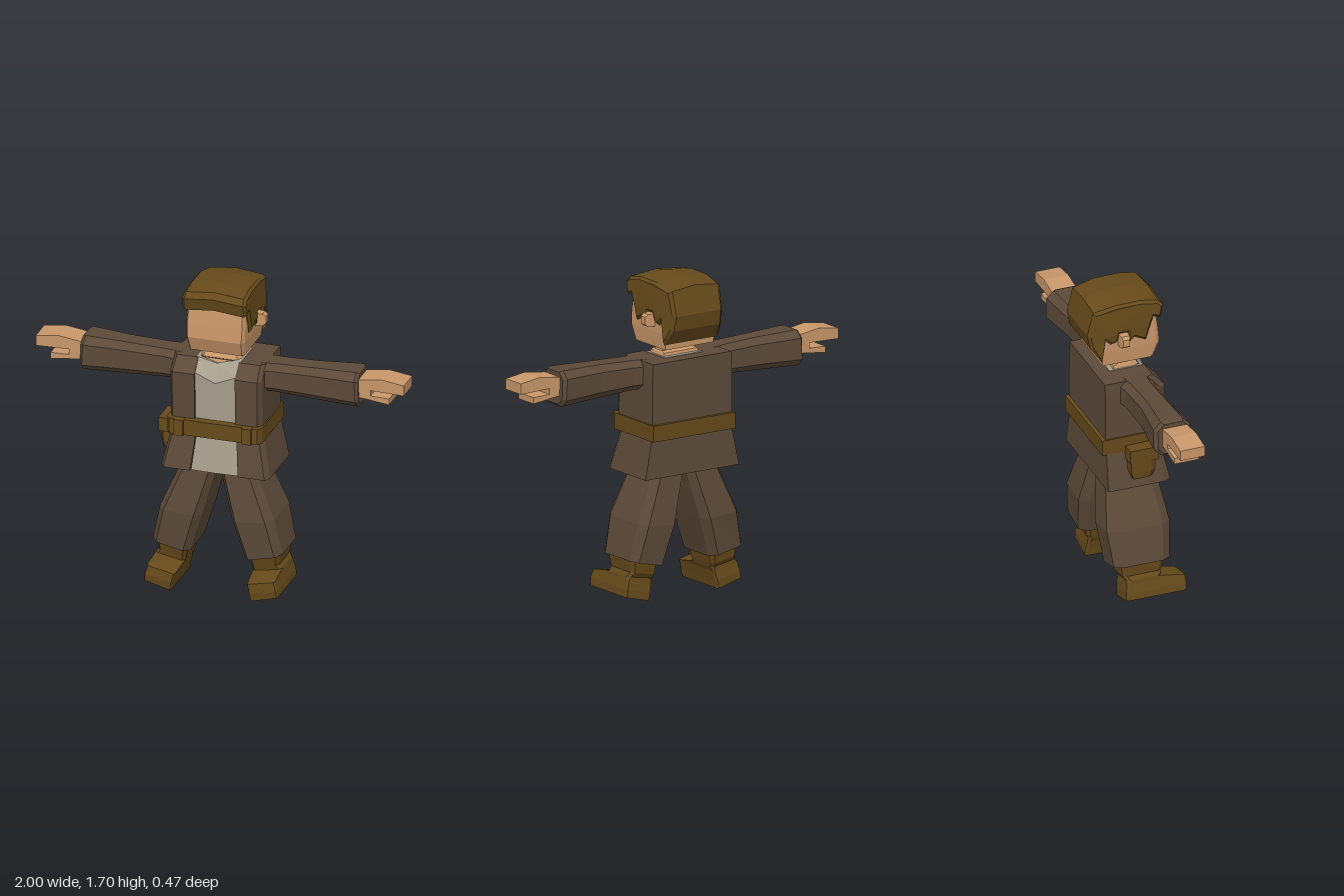
import * as THREE from 'three';

const colour = (name, hex) => {
  const m = new THREE.MeshStandardMaterial({ color: hex });
  m.name = name;
  return m;
};

// Faceted solid through a list of equal-length rings, with closed ends
function loft(rings) {
  const tris = [];
  const n = rings[0].length;
  for (let r = 0; r < rings.length - 1; r++) {
    for (let i = 0; i < n; i++) {
      const j = (i + 1) % n;
      const a = rings[r][i], b = rings[r][j], c = rings[r + 1][j], d = rings[r + 1][i];
      tris.push([a, b, c], [a, c, d]);
    }
  }
  const first = rings[0], last = rings[rings.length - 1];
  for (let i = 1; i < n - 1; i++) {
    tris.push([first[0], first[i + 1], first[i]], [last[0], last[i], last[i + 1]]);
  }
  // Turn the faces outward whichever way the rings run
  let volume = 0;
  for (const [a, b, c] of tris) {
    volume += a[0] * (b[1] * c[2] - b[2] * c[1]) + a[1] * (b[2] * c[0] - b[0] * c[2]) + a[2] * (b[0] * c[1] - b[1] * c[0]);
  }
  if (volume < 0) tris.forEach((t) => t.reverse());
  const g = new THREE.BufferGeometry();
  g.setAttribute('position', new THREE.Float32BufferAttribute(tris.flat(2), 3));
  g.computeVertexNormals();
  return g;
}

// Chamfered cross-section between two points in xy, spanning z0..z1
function section(s, [ax, ay], [bx, by], z0, z1, c = 0.15) {
  const uv = [[0, c], [c, 0], [1 - c, 0], [1, c], [1, 1 - c], [1 - c, 1], [c, 1], [0, 1 - c]];
  return uv.map(([u, v]) => [s * (ax + (bx - ax) * u), ay + (by - ay) * u, z0 + (z1 - z0) * v]);
}

// Level rectangle with chamfered front corners
const level = (y, x, zb, zf, c = 0.03) =>
  [[-x, y, zb], [x, y, zb], [x, y, zf - c], [x - c * 0.6, y, zf], [c * 0.6 - x, y, zf], [-x, y, zf - c]];

function extrude(points, depth, bevel) {
  const shape = new THREE.Shape(points.map((p) => new THREE.Vector2(...p)));
  const g = new THREE.ExtrudeGeometry(shape, { depth, steps: 2, bevelEnabled: bevel > 0, bevelThickness: bevel, bevelSize: bevel, bevelOffset: -bevel, bevelSegments: 1 });
  return g.translate(0, 0, -depth / 2);
}

export function createModel() {
  const model = new THREE.Group();
  model.name = 'figure';
  const cloth = colour('brown cloth', 0x5c4a39);
  const leather = colour('dark leather', 0x664a1b);
  const skin = colour('skin', 0xc9976a);
  const linen = colour('grey linen', 0xa8a08f);
  const add = (name, geometry, material) => {
    const mesh = new THREE.Mesh(geometry, material);
    mesh.name = name;
    model.add(mesh);
    return mesh;
  };
  const box = (name, w, h, d, x, y, z, material) =>
    add(name, new THREE.BoxGeometry(w, h, d).translate(x, y, z), material);

  // Shirt, with a dip at the collar
  add('shirt', loft([
    [0.664, 0.14, 0.15, 0], [0.87, 0.12, 0.118, 0], [0.95, 0.12, 0.14, 0],
    [1.22, 0.12, 0.148, 0.05], [1.283, 0.12, 0.09, 0.025],
  ].map(([y, x, z, dip]) => [[-x, y, -0.1], [x, y, -0.1], [x, y, z], [0, y - dip, z + 0.004], [-x, y, z]])), linen);

  // Jacket back and sides
  add('jacketBody', loft([
    level(0.67, 0.295, -0.175, 0.085), level(0.87, 0.253, -0.17, 0.08),
    level(0.95, 0.25, -0.175, 0.08), level(1.2, 0.25, -0.175, 0.08), level(1.28, 0.245, -0.175, 0.075),
  ]), cloth);

  // Belt with its loops
  add('belt', loft([level(0.872, 0.258, -0.195, 0.187), level(0.958, 0.258, -0.195, 0.187)]), leather);
  for (const s of [1, -1]) box('beltLoop', 0.05, 0.088, 0.03, s * 0.185, 0.915, 0.188, leather);

  // Hip pouch with flap
  add('pouch', loft([
    level(0.73, 0.03, -0.045, 0.065), level(0.77, 0.036, -0.06, 0.08), level(0.87, 0.036, -0.06, 0.08),
  ]).translate(-0.288, 0, 0), leather);
  box('pouchFlap', 0.08, 0.075, 0.155, -0.29, 0.868, 0.01, leather);

  for (const s of [1, -1]) {
    // Jacket front panel: height, inner x, outer x, front z
    add('jacketFront', loft([
      [0.67, 0.13, 0.295, 0.175], [0.87, 0.11, 0.253, 0.135], [0.95, 0.11, 0.25, 0.158],
      [1.21, 0.11, 0.25, 0.162], [1.28, 0.11, 0.245, 0.095],
    ].map(([y, a, b, z]) => [[a, y, z], [b - 0.02, y, z], [b, y, z - 0.035], [b, y, 0], [a, y, 0]]
      .map(([x, h, d]) => [s * x, h, d]))), cloth);

    // Sleeve flaring to the cuff
    add('sleeve', loft([
      section(s, [0.2, 1.13], [0.2, 1.28], -0.1, 0.1, 0.2),
      section(s, [0.3, 1.125], [0.3, 1.283], -0.08, 0.085, 0.2),
      section(s, [0.5, 1.115], [0.5, 1.29], -0.075, 0.085, 0.2),
      section(s, [0.745, 1.108], [0.735, 1.298], -0.105, 0.1, 0.2),
      section(s, [0.758, 1.12], [0.752, 1.29], -0.085, 0.085, 0.2),
    ]), cloth);

    // Hand with grouped fingers and thumb
    const hand = extrude([
      [0.72, 1.17], [0.8, 1.163], [0.92, 1.148], [0.92, 1.182], [0.82, 1.185], [0.82, 1.215],
      [1, 1.21], [1, 1.267], [0.88, 1.284], [0.72, 1.262],
    ], 0.136, 0);
    if (s < 0) hand.rotateY(Math.PI);
    add('hand', hand.translate(0, 0, 0.007), skin);

    // Baggy trouser leg
    add('trouserLeg', loft([
      section(s, [0.005, 0.75], [0.18, 0.76], -0.13, 0.12),
      section(s, [0.015, 0.65], [0.205, 0.67], -0.145, 0.135),
      section(s, [0.08, 0.405], [0.31, 0.43], -0.178, 0.17),
      section(s, [0.147, 0.19], [0.352, 0.237], -0.155, 0.152),
    ]), cloth);

    // Boot from sole to shaft
    add('boot', loft([
      section(s, [0.215, 0.003], [0.365, 0.042], -0.1, 0.23, 0.04),
      section(s, [0.207, 0.045], [0.36, 0.08], -0.1, 0.235, 0.04),
      section(s, [0.195, 0.095], [0.347, 0.127], -0.092, 0.228, 0.04),
      section(s, [0.184, 0.118], [0.343, 0.147], -0.09, 0.1, 0.1),
      section(s, [0.178, 0.14], [0.328, 0.168], -0.105, 0.105, 0.1),
      section(s, [0.165, 0.205], [0.337, 0.25], -0.115, 0.125, 0.1),
    ]), leather);

    // Ear
    add('ear', loft([
      [[0.14, 1.45, -0.015], [0.14, 1.52, -0.015], [0.14, 1.52, -0.07], [0.14, 1.45, -0.07]],
      [[0.2, 1.452, -0.02], [0.2, 1.518, -0.02], [0.2, 1.518, -0.065], [0.2, 1.452, -0.065]],
      [[0.217, 1.465, -0.025], [0.217, 1.505, -0.025], [0.217, 1.505, -0.06], [0.217, 1.465, -0.06]],
    ].map((ring) => ring.map(([x, y, z]) => [s * x, y, z]))), skin);
  }

  // Neck
  add('neck', loft([
    level(1.26, 0.115, -0.08, 0.085), level(1.298, 0.105, -0.07, 0.06),
    level(1.305, 0.098, -0.045, 0.045), level(1.36, 0.09, -0.045, 0.045),
  ]), skin);

  // Head, narrowing under the chin
  add('head', loft([
    level(1.338, 0.15, -0.15, 0.135, 0.02), level(1.42, 0.158, -0.155, 0.166, 0.02),
    level(1.5, 0.16, -0.16, 0.158, 0.02), level(1.63, 0.155, -0.16, 0.14, 0.02),
  ]), skin);

  // Hair: side outline across the head, arched at the middle and tapered at the back
  const hair = extrude([
    [0.165, 1.572], [0.182, 1.64], [0.155, 1.67], [0.06, 1.687], [-0.08, 1.685], [-0.2, 1.66],
    [-0.232, 1.53], [-0.215, 1.45], [-0.158, 1.368], [-0.138, 1.495], [-0.112, 1.465], [-0.075, 1.475],
    [-0.06, 1.52], [-0.022, 1.52], [-0.012, 1.455], [0.02, 1.485], [0.085, 1.455], [0.108, 1.53], [0.128, 1.585],
  ], 0.324, 0.014).rotateY(-Math.PI / 2);
  const p = hair.attributes.position;
  for (let i = 0; i < p.count; i++) {
    const x = p.getX(i), y = p.getY(i), z = p.getZ(i);
    if (Math.abs(x) < 0.01 && y > 1.55) p.setY(i, y + 0.016);
    const back = THREE.MathUtils.clamp((-z - 0.16) / 0.07, 0, 1);
    const crown = THREE.MathUtils.clamp((y - 1.62) / 0.06, 0, 1);
    p.setX(i, x * (1 - 0.14 * back - 0.05 * crown));
  }
  hair.computeVertexNormals();
  add('hair', hair, leather);

  return model;
}
